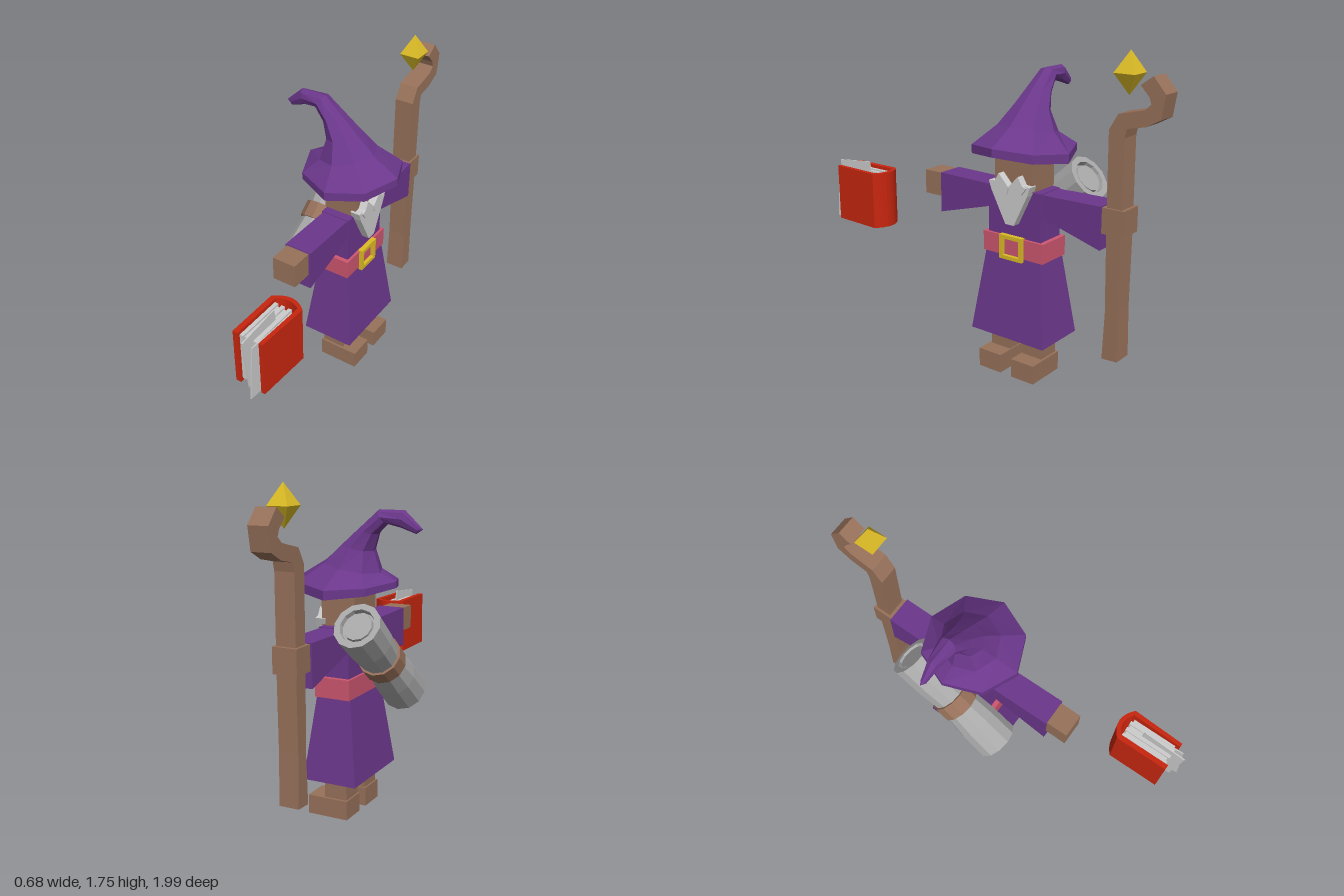
import * as THREE from 'three';

const mat = (name, color) => {
  const m = new THREE.MeshStandardMaterial({ color });
  m.name = name;
  return m;
};

export function createModel() {
  const root = new THREE.Group();
  const purple = mat('purple cloth', 0x6b378b);
  const brown = mat('brown wood and skin', 0x97715a);
  const pink = mat('pink belt', 0xcd566f);
  const gold = mat('gold', 0xdcbc26);
  const red = mat('red cover', 0xc8260f);
  const light = mat('light grey', 0xcccccc);
  const grey = mat('scroll grey', 0xa9a9a9);
  const CX = 0.068, CZ = -0.195; // body axis

  // Faceted mesh helper
  const add = (name, geo, material, parent = root) => {
    const g = geo.index ? geo.toNonIndexed() : geo;
    g.computeVertexNormals();
    const mesh = new THREE.Mesh(g, material);
    mesh.name = name;
    parent.add(mesh);
    return mesh;
  };
  // Box from its limits
  const box = (name, x0, x1, y0, y1, z0, z1, material, parent) =>
    add(name, new THREE.BoxGeometry(x1 - x0, y1 - y0, z1 - z0)
      .translate((x0 + x1) / 2, (y0 + y1) / 2, (z0 + z1) / 2), material, parent);
  const shapeOf = pts => new THREE.Shape(pts.map(p => new THREE.Vector2(...p)));
  // Side profile of (-z, y) points extruded from x0 to x1
  const profile = (shape, x0, x1) =>
    new THREE.ExtrudeGeometry(shape, { depth: x1 - x0, bevelEnabled: false, curveSegments: 6 })
      .rotateY(Math.PI / 2).translate(x0, 0, 0);

  // Robe skirt: box widened at the hem
  const skirt = new THREE.BoxGeometry(1, 1, 1);
  const p = skirt.attributes.position;
  for (let i = 0; i < p.count; i++) {
    const top = p.getY(i) > 0;
    p.setXYZ(i, CX + p.getX(i) * (top ? 0.18 : 0.3), top ? 0.7 : 0.21,
      CZ + p.getZ(i) * (top ? 0.335 : 0.466));
  }
  add('robeSkirt', skirt, purple);
  box('torso', CX - 0.083, CX + 0.083, 0.7, 1.01, CZ - 0.165, CZ + 0.165, purple);
  box('belt', CX - 0.098, CX + 0.098, 0.65, 0.755, CZ - 0.19, CZ + 0.19, pink);
  box('head', CX - 0.094, CX + 0.094, 1.01, 1.23, CZ - 0.117, CZ + 0.117, brown);

  // Belt buckle frame
  const frame = shapeOf([[0.124, 0.635], [0.266, 0.635], [0.266, 0.765], [0.124, 0.765]]);
  frame.holes.push(new THREE.Path([[0.144, 0.655], [0.144, 0.745], [0.246, 0.745], [0.246, 0.655]]
    .map(q => new THREE.Vector2(...q))));
  add('buckle', profile(frame, 0.16, 0.186), gold);

  // Arms and legs on both sides
  for (const s of [1, -1]) {
    const sleeve = shapeOf([[0.13, 1.005], [0.13, 0.88], [0.17, 0.885], [0.505, 0.79], [0.505, 1.01]]
      .map(([u, y]) => [-CZ + s * u, y]));
    add('sleeve', profile(sleeve, CX - 0.075, CX + 0.075), purple);
    const span = (a, b) => [CZ + s * a, CZ + s * b].sort((m, n) => m - n);
    box('hand', 0.002, 0.133, 0.875, 1.005, ...span(0.49, 0.625), brown);
    box('leg', 0.004, 0.13, 0.1, 0.23, ...span(0.042, 0.165), brown);
    box('foot', -0.005, 0.222, 0, 0.102, ...span(0.035, 0.178), brown);
  }

  // Beard with two moustache tufts
  add('beard', profile(shapeOf([[0.171, 0.83], [0.224, 0.83], [0.305, 0.995], [0.322, 1.045],
    [0.26, 1.05], [0.195, 1.03], [0.13, 1.05], [0.064, 1.045], [0.083, 0.995]]), 0.14, 0.195), light);
  for (const s of [1, -1]) {
    add('moustache', profile(shapeOf([[0, 1.03], [0.01, 0.99], [0.08, 1.0], [0.11, 1.04], [0.085, 1.05], [0.06, 1.093]]
      .map(([u, y]) => [-CZ + s * u, y])), 0.15, 0.204), light);
  }

  // Hat rings: right/top point, left/bottom point, half width, side sag
  const rings = [
    [0.07, 1.215, 0.07, 1.215, 0, 0],
    [0.335, 1.208, -0.2, 1.208, 0.268, 0.042],
    [0.335, 1.25, -0.2, 1.24, 0.268, 0.032],
    [0.19, 1.335, -0.11, 1.277, 0.16, 0],
    [0.09, 1.424, -0.075, 1.385, 0.103, 0],
    [0.0, 1.502, -0.1, 1.47, 0.073, 0],
    [-0.105, 1.593, -0.152, 1.522, 0.05, 0],
    [-0.245, 1.593, -0.22, 1.508, 0.034, 0],
    [-0.326, 1.518, -0.305, 1.48, 0.015, 0],
    [-0.34, 1.503, -0.34, 1.503, 0, 0],
  ];
  const N = 8, pos = [], idx = [];
  rings.forEach(([ax, ay, bx, by, w, sag], k) => {
    for (let j = 0; j < N; j++) {
      const c = Math.cos(j / N * Math.PI * 2), s = Math.sin(j / N * Math.PI * 2);
      pos.push((ax + bx) / 2 + (ax - bx) / 2 * c, (ay + by) / 2 + (ay - by) / 2 * c - sag * s * s, CZ + w * s);
      if (k < rings.length - 1) {
        const a = k * N + j, b = k * N + (j + 1) % N;
        idx.push(a, a + N, b, b, a + N, b + N);
      }
    }
  });
  const hat = new THREE.BufferGeometry();
  hat.setAttribute('position', new THREE.Float32BufferAttribute(pos, 3));
  hat.setIndex(idx);
  add('hat', hat, purple);

  // Crooked staff and its floating crystal
  const staff = shapeOf([[0.72, 0.22], [0.807, 0.225], [0.8, 0.5], [0.803, 0.85], [0.8, 1.35], [0.81, 1.395],
    [0.906, 1.415], [0.98, 1.455], [0.998, 1.57], [0.933, 1.645], [0.87, 1.6], [0.917, 1.55],
    [0.928, 1.52], [0.897, 1.49], [0.762, 1.458], [0.716, 1.378], [0.72, 0.95], [0.73, 0.47]]);
  add('staff', profile(staff, 0.016, 0.122), brown);
  for (const s of [1, -1]) {
    const cone = new THREE.ConeGeometry(0.055 * Math.SQRT2, 0.103, 4, 1, true).rotateY(Math.PI / 4);
    if (s < 0) cone.rotateX(Math.PI);
    add('crystal', cone.translate(0.073, 1.642 + s * 0.0515, -0.787), gold);
  }

  // Rolled scroll on the back, waisted by a strap
  const scroll = new THREE.Group();
  scroll.name = 'scroll';
  scroll.position.set(-0.12, 0.835, -0.195);
  scroll.rotation.x = -0.88;
  root.add(scroll);
  const half = [[0.122, 0.353], [0.09, 0.353], [0.086, 0.325], [0.076, 0.325], [0.074, 0.345], [0, 0.345]];
  const roll = [...half.map(([r, y]) => [r, -y]).reverse(), [0.117, -0.18], [0.104, -0.05],
    [0.104, 0.05], [0.117, 0.18], ...half];
  add('scrollPaper', new THREE.LatheGeometry(roll.map(q => new THREE.Vector2(...q)), 12), grey, scroll);
  add('scrollStrap', new THREE.LatheGeometry([[0.1, -0.045], [0.116, -0.045], [0.116, 0.045], [0.1, 0.045]]
    .map(q => new THREE.Vector2(...q)), 12), brown, scroll);

  // Book: cover bent round the spine, drawn as (x, -z)
  const book = new THREE.Group();
  book.name = 'book';
  root.add(book);
  const cover = new THREE.Shape();
  cover.moveTo(0.15, -0.935);
  cover.lineTo(0.178, -0.935);
  cover.lineTo(0.178, -0.65);
  cover.quadraticCurveTo(0.24, -0.605, 0.305, -0.65);
  cover.lineTo(0.296, -0.935);
  cover.lineTo(0.317, -0.935);
  cover.lineTo(0.33, -0.645);
  cover.quadraticCurveTo(0.24, -0.562, 0.15, -0.645);
  add('bookCover', new THREE.ExtrudeGeometry(cover, { depth: 0.31, bevelEnabled: false, curveSegments: 8 })
    .rotateX(-Math.PI / 2).translate(0, 0.673, 0), red, book);
  for (let i = 0; i < 6; i++) {
    const d = (i % 2) * 0.01, x = 0.179 + i * 0.0195;
    box('pages', x, x + 0.0195, 0.69 + d, 0.965 - d, 0.655 + d, 0.922 - d, light, book);
  }
  // Loose sheets poking out
  for (const [x, y, z, tilt] of [[0.245, 0.85, 0.855, 0.1], [0.28, 0.8, 0.86, -0.09]]) {
    const sheet = add('looseSheet', new THREE.BoxGeometry(0.006, 0.3, 0.24), light, book);
    sheet.position.set(x, y + 0.01, z);
    sheet.rotation.x = tilt;
  }
  return root;
}
